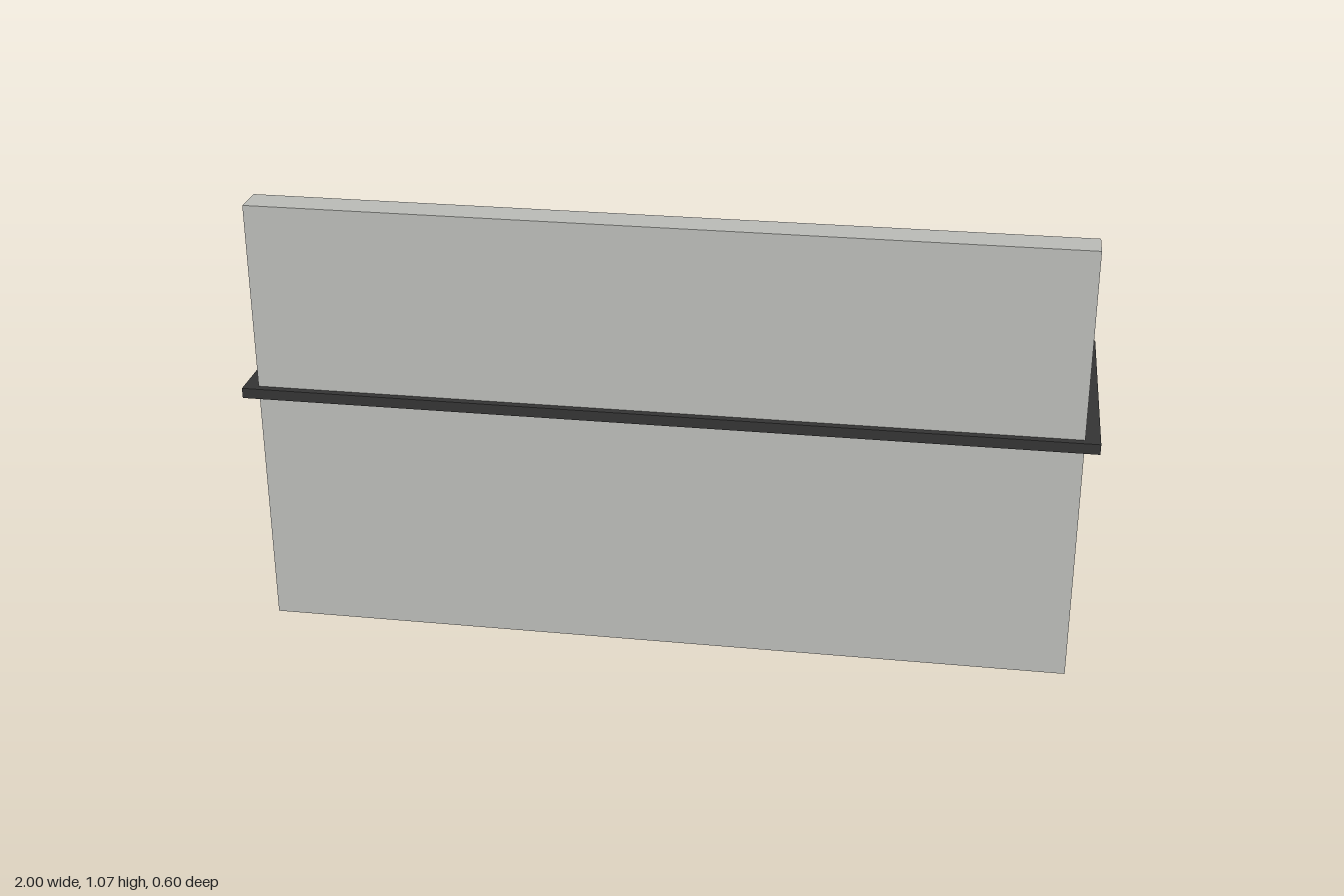
import * as THREE from 'three';

export function createModel() {
  const model = new THREE.Group();
  model.name = 'barCounter';
  const grey = new THREE.MeshStandardMaterial({ color: 0xb9bab6 });
  grey.name = 'pale grey';
  const dark = new THREE.MeshStandardMaterial({ color: 0x343434 });
  dark.name = 'dark worktop';

  // Box given by its centre x, y range and z range
  function box(name, material, x, width, y0, y1, z0, z1) {
    const mesh = new THREE.Mesh(new THREE.BoxGeometry(width, y1 - y0, z1 - z0), material);
    mesh.position.set(x, (y0 + y1) / 2, (z0 + z1) / 2);
    mesh.name = name;
    return mesh;
  }

  // Counter, worktop, upright panel and shelf
  model.add(
    box('counterBody', grey, 0, 1.93, 0, 0.59, -0.279, 0.279),
    box('worktop', dark, 0, 2, 0.59, 0.615, -0.298, 0.298),
    box('uprightPanel', grey, 0, 1.93, 0.615, 1.068, 0.202, 0.28),
    box('shelf', grey, 0, 1.93, 0.837, 0.853, 0.067, 0.202)
  );

  // Tapered bottle: side wall and pointed cap kept apart for a crisp edge
  const top = 0.615, z = -0.065;
  const side = new THREE.CylinderGeometry(0.022, 0.032, 0.13, 12, 1, true);
  const cap = new THREE.ConeGeometry(0.022, 0.01, 12, 1, true);

  // Evenly spaced blocks, each with a bottle set slightly off its centre
  const bottleX = [-0.893, -0.575, -0.342, -0.091, 0.211, 0.455, 0.725];
  bottleX.forEach((x, i) => {
    const item = new THREE.Group();
    item.name = 'bottle' + (i + 1);
    const wall = new THREE.Mesh(side, grey);
    wall.name = 'bottleSide';
    wall.position.set(x, top + 0.065, z);
    const tip = new THREE.Mesh(cap, grey);
    tip.name = 'bottleCap';
    tip.position.set(x, top + 0.135, z);
    const blockX = -0.066 + 0.267 * (i - 3);
    item.add(wall, tip, box('bottleBlock', grey, blockX, 0.046, top, top + 0.05, z - 0.023, z + 0.023));
    model.add(item);
  });

  return model;
}
